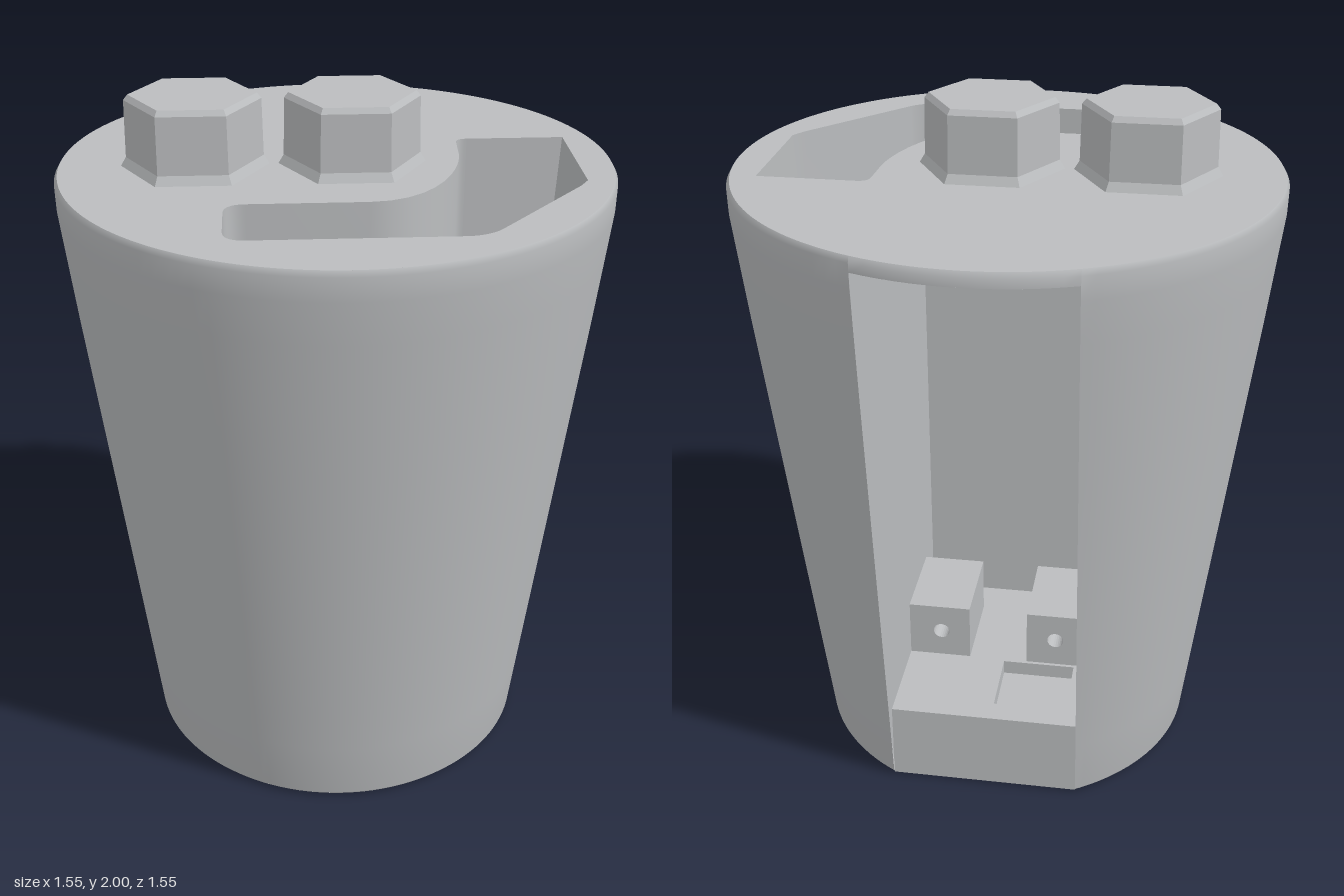
import * as THREE from 'three';

export function createModel() {
  const model = new THREE.Group();
  const grey = new THREE.MeshStandardMaterial({ color: 0xbbbdbf, side: THREE.DoubleSide });
  grey.name = 'grey plastic';

  const add = (name, geometry) => {
    const mesh = new THREE.Mesh(geometry, grey);
    mesh.name = name;
    model.add(mesh);
    return mesh;
  };

  // Tapered body profile: [height, radius]
  const profile = [[0, 0.565], [0.015, 0.578], [0.8, 0.67], [1.4, 0.74], [1.72, 0.775], [1.785, 0.776], [1.8, 0.767]];
  const radius = (y) => {
    let i = 1;
    while (i < profile.length - 1 && y > profile[i][0]) i++;
    const [y0, r0] = profile[i - 1], [y1, r1] = profile[i];
    return r0 + (r1 - r0) * (y - y0) / (y1 - y0);
  };
  const TOP = 1.8, GAP = 0.28, SIDE = 0.185, CEIL = 1.76;
  const WIN0 = 0.08, WIN1 = 0.78, FLOOR = 0.25, DEEP = 0.17;
  const chord = (y, half) => Math.sqrt(radius(y) ** 2 - half ** 2);

  // Surface from a rule: point(u, v) with u and v from 0 to 1
  const surface = (name, nu, nv, point) => {
    const pos = [], index = [];
    for (let j = 0; j <= nv; j++) for (let i = 0; i <= nu; i++) pos.push(...point(i / nu, j / nv));
    for (let j = 0; j < nv; j++) for (let i = 0; i < nu; i++) {
      const a = j * (nu + 1) + i, b = a + nu + 1;
      index.push(a, a + 1, b + 1, a, b + 1, b);
    }
    const g = new THREE.BufferGeometry();
    g.setAttribute('position', new THREE.Float32BufferAttribute(pos, 3));
    g.setIndex(index);
    g.computeVertexNormals();
    return add(name, g);
  };
  const quad = (name, a, b, c, d) => surface(name, 1, 1, (u, v) => (v ? (u ? c : d) : (u ? b : a)));
  const shapeOf = (pts) => new THREE.Shape(pts.map(([x, y]) => new THREE.Vector2(x, y)));
  const hexagon = (cx, cz, r) => Array.from({ length: 6 }, (_, i) =>
    [cx + r * Math.cos(i * Math.PI / 3), cz + r * Math.sin(i * Math.PI / 3)]);
  // Flat plate lying in x, z
  const plate = (name, shape, y) => add(name, new THREE.ShapeGeometry(shape, 96).rotateX(Math.PI / 2).translate(0, y, 0));

  // Outer wall, split around the rear gap and the side window
  const wall = (name, y0, y1, from, to, n) => {
    const ys = [y0, y1, ...profile.map((p) => p[0]).filter((y) => y > y0 && y < y1)];
    for (let y = 0.2; y < 1.8; y += 0.2) if (y > y0 && y < y1) ys.push(y);
    const rows = [...new Set(ys.map((y) => +y.toFixed(4)))].sort((a, b) => a - b);
    surface(name, n, rows.length - 1, (u, v) => {
      const y = rows[Math.round(v * (rows.length - 1))], r = radius(y);
      const t = from(r) + (to(r) - from(r)) * u;
      return [r * Math.sin(t), y, r * Math.cos(t)];
    });
  };
  const backLeft = (r) => Math.PI - Math.asin(GAP / r);
  const backRight = (r) => -backLeft(r);
  const winFront = (r) => Math.acos(SIDE / r);
  const winBack = (r) => Math.PI - winFront(r);
  wall('mainWall', 0, TOP, backRight, winFront, 80);
  wall('rearSideWall', 0, TOP, winBack, backLeft, 20);
  wall('wallAboveWindow', WIN1, TOP, winFront, winBack, 14);
  wall('wallBelowWindow', 0, WIN0, winFront, winBack, 14);
  wall('lidLip', CEIL, TOP, backLeft, (r) => Math.PI + Math.asin(GAP / r), 14);

  // Channel outline in x, z, from the front of the shaft round to its back
  const path = new THREE.Path();
  path.moveTo(0.67, SIDE);
  path.lineTo(0.645, 0.225);
  path.lineTo(0.385, 0.53);
  path.quadraticCurveTo(0.345, 0.57, 0.29, 0.57);
  path.lineTo(-0.25, 0.57);
  path.quadraticCurveTo(-0.31, 0.57, -0.31, 0.51);
  path.lineTo(-0.31, 0.38);
  path.quadraticCurveTo(-0.31, 0.32, -0.25, 0.32);
  path.lineTo(0.07, 0.32);
  path.bezierCurveTo(0.27, 0.32, 0.345, 0.05, 0.35, -0.05);
  path.lineTo(0.355, -0.15);
  path.quadraticCurveTo(0.355, -SIDE, 0.39, -SIDE);
  const outline = path.getPoints(10).map((p) => [p.x, p.y]);
  const channelY = (x) => 1.62 - 0.25 * x;

  // Top plate with the channel and shaft cut out
  const top = new THREE.Shape().absarc(0, 0, radius(TOP), 0, Math.PI * 2);
  top.holes.push(shapeOf([...outline, [0.67, -SIDE]]));
  plate('topPlate', top, TOP);
  surface('channelWall', outline.length - 1, 1, (u, v) => {
    const [x, z] = outline[Math.round(u * (outline.length - 1))];
    return [x, v ? 1.44 : TOP, z];
  });
  const floorPoints = [...outline.filter((p) => p[1] > 0.03), [0.34, 0.03], [0.34, SIDE]];
  const channelFloor = new THREE.ShapeGeometry(shapeOf(floorPoints)).rotateX(Math.PI / 2);
  const cp = channelFloor.attributes.position;
  for (let i = 0; i < cp.count; i++) cp.setY(i, channelY(cp.getX(i)));
  channelFloor.computeVertexNormals();
  add('channelFloor', channelFloor);

  // Drop shaft with a curved ramp leading out of the side window
  const ramp = new THREE.CubicBezierCurve(
    new THREE.Vector2(0.34, 0.85), new THREE.Vector2(0.37, 0.5),
    new THREE.Vector2(0.45, 0.12), new THREE.Vector2(chord(WIN0, SIDE), WIN0));
  surface('ramp', 12, 16, (u, v) => {
    const p = ramp.getPoint(v), z = (u * 2 - 1) * SIDE;
    return [p.x + v * v * (chord(WIN0, z) - chord(WIN0, SIDE)), p.y, z];
  });
  const rampPoints = ramp.getPoints(16).reverse().map((p) => [p.x, p.y]);
  for (const z of [-SIDE, SIDE]) {
    const up = (x) => (z > 0 ? channelY(x) : TOP);
    const side = shapeOf([[0.34, up(0.34)], [0.67, up(0.67)], [0.62, WIN1], [chord(WIN1, SIDE), WIN1], ...rampPoints]);
    add('shaftSide', new THREE.ShapeGeometry(side).translate(0, 0, z));
  }
  quad('shaftInnerWall', [0.34, 0.85, -SIDE], [0.34, 0.85, SIDE], [0.34, 1.54, SIDE], [0.34, 1.54, -SIDE]);
  quad('shaftOuterWall', [0.67, TOP, -SIDE], [0.67, TOP, SIDE], [0.62, WIN1, SIDE], [0.62, WIN1, -SIDE]);
  surface('windowLintel', 12, 1, (u, v) => {
    const z = (u * 2 - 1) * SIDE;
    return [v ? chord(WIN1, z) : 0.62, WIN1, z];
  });

  // Hexagonal knobs on top, with flared feet and bevelled tops
  const knobProfile = [[0.205, 1.8], [0.19, 1.825], [0.187, 1.985], [0.175, 2], [0, 2]];
  for (const x of [-0.39, 0.045]) {
    const g = new THREE.LatheGeometry(knobProfile.map(([r, y]) => new THREE.Vector2(r, y)), 6, Math.PI / 2).toNonIndexed();
    g.computeVertexNormals();
    add('hexKnob', g).position.x = x;
  }

  // Underside with a hexagonal socket
  const arcEnd = Math.asin(GAP / radius(0));
  const base = new THREE.Shape().absarc(0, 0, radius(0), -Math.PI / 2 + arcEnd, Math.PI * 1.5 - arcEnd);
  const socket = hexagon(0.04, 0.27, 0.23);
  base.holes.push(shapeOf(socket));
  plate('basePlate', base, 0);
  socket.forEach(([x, z], i) => {
    const [x2, z2] = socket[(i + 1) % 6];
    quad('socketWall', [x, 0, z], [x2, 0, z2], [x2, 0.2, z2], [x, 0.2, z]);
  });
  plate('socketEnd', shapeOf(socket), 0.2);

  // Rear compartment: sides, inner wall and ceiling
  const rim = Array.from({ length: 13 }, (_, i) => CEIL * i / 12);
  for (const s of [-1, 1]) {
    const side = shapeOf([[DEEP, CEIL], [DEEP, 0.01], ...rim.map((y) => [-chord(y, GAP), y])]);
    const g = new THREE.ShapeGeometry(side).rotateY(-Math.PI / 2);
    add('compartmentSide', g).position.x = s * GAP;
  }
  quad('compartmentInnerWall', [-GAP, 0.22, DEEP], [GAP, 0.22, DEEP], [GAP, CEIL, DEEP], [-GAP, CEIL, DEEP]);
  surface('compartmentCeiling', 14, 1, (u, v) => {
    const x = (u * 2 - 1) * GAP;
    return [x, CEIL, v ? DEEP : -chord(CEIL, x)];
  });

  // Compartment floor with a shallow pocket
  add('floorSlab', new THREE.BoxGeometry(GAP * 2, 0.2, 0.55)).position.set(0, 0.105, -0.225);
  const floor = shapeOf([[-GAP, -0.5], [GAP, -0.5], [GAP, DEEP], [-GAP, DEEP]]);
  floor.holes.push(shapeOf([[-0.24, -0.43], [-0.02, -0.43], [-0.02, -0.22], [-0.24, -0.22]]));
  add('compartmentFloor', new THREE.ExtrudeGeometry(floor, { depth: 0.05, bevelEnabled: false })
    .rotateX(Math.PI / 2).translate(0, FLOOR, 0));

  // Mounting blocks with screw holes, in the four corners
  for (const s of [-1, 1]) {
    for (const [y0, y1, z] of [[FLOOR, 0.43, -0.21], [1.5, CEIL, -0.16]]) {
      const block = shapeOf([[0.09, y0], [GAP, y0], [GAP, y1], [0.09, y1]]);
      block.holes.push(new THREE.Path().absarc(0.18, (y0 + y1) / 2, 0.025, 0, Math.PI * 2));
      const g = new THREE.ExtrudeGeometry(block, { depth: 0.27, bevelEnabled: false });
      if (s < 0) g.rotateY(Math.PI).translate(0, 0, 0.27);
      add('mountingBlock', g).position.z = z;
    }
  }
  return model;
}
